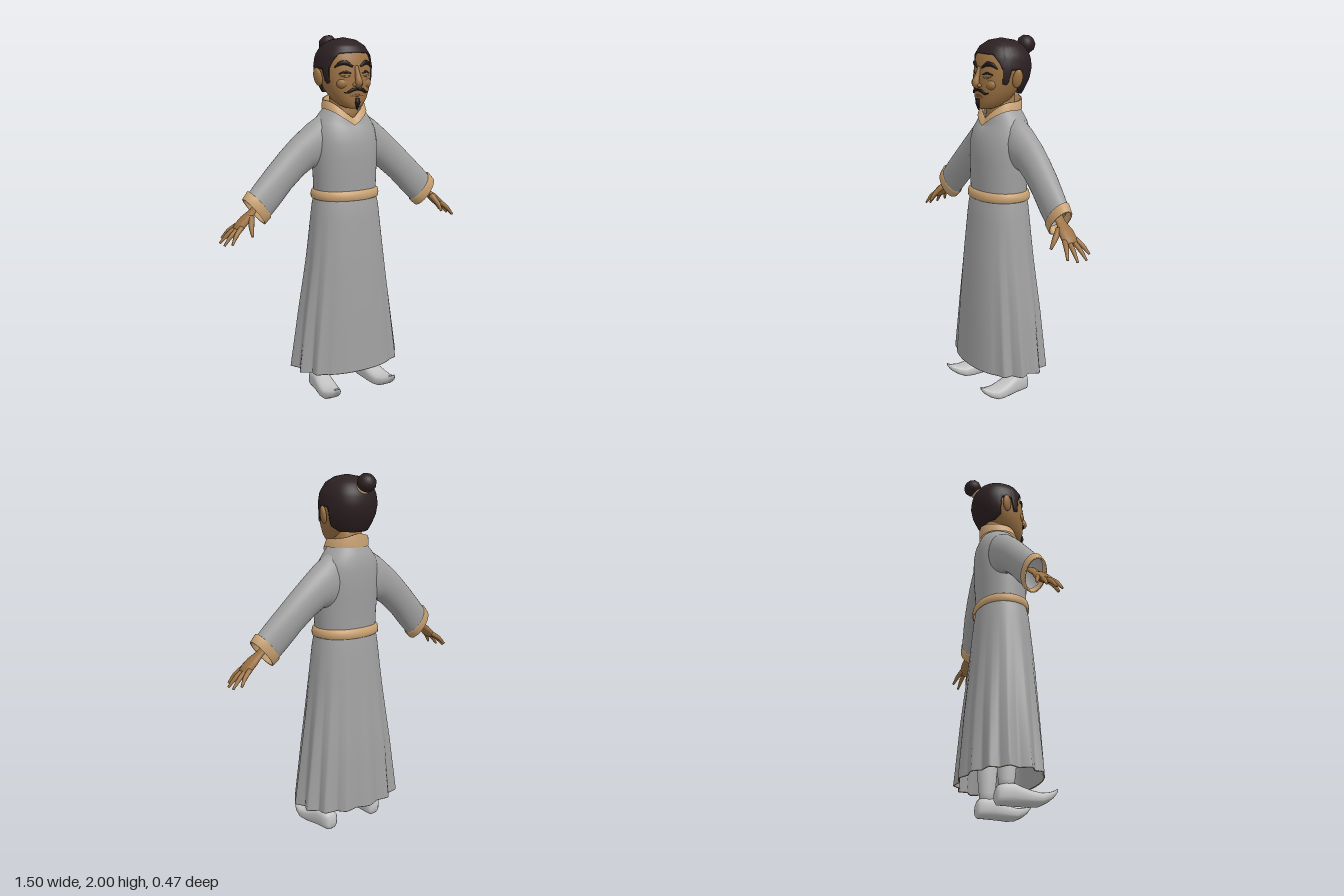
import * as THREE from 'three';

const V = (x, y, z) => new THREE.Vector3(x, y, z);
const paint = (name, color, side = THREE.FrontSide) => {
  const m = new THREE.MeshStandardMaterial({ color, side });
  m.name = name;
  return m;
};

// Skin stretched over closed rings of points; faces are turned outward
function loft(rings, capStart = false, capEnd = false) {
  const n = rings[0].length, pts = rings.flat(), index = [];
  for (let r = 0; r < rings.length - 1; r++) for (let i = 0; i < n; i++) {
    const a = r * n + i, b = r * n + (i + 1) % n;
    index.push(a, b, a + n, b, b + n, a + n);
  }
  const mean = list => list.reduce((s, p) => s.add(p), V(0, 0, 0)).divideScalar(list.length);
  const cap = (r, flip) => {
    const c = pts.push(mean(rings[r])) - 1;
    for (let i = 0; i < n; i++) {
      const a = r * n + i, b = r * n + (i + 1) % n;
      index.push(c, flip ? b : a, flip ? a : b);
    }
  };
  if (capStart) cap(0, true);
  if (capEnd) cap(rings.length - 1, false);
  const mid = mean(pts), q = k => pts[k].clone().sub(mid);
  let volume = 0;
  for (let i = 0; i < index.length; i += 3) volume += q(index[i]).dot(q(index[i + 1]).cross(q(index[i + 2])));
  if (volume < 0) index.reverse();
  const g = new THREE.BufferGeometry().setFromPoints(pts);
  g.setIndex(index);
  g.computeVertexNormals();
  return g;
}

// Rounded horizontal section: half width, front z, back z; angle 0 is the front
const pow = (v, e) => Math.sign(v) * Math.abs(v) ** e;
function sectionPoint(a, y, [w, zf, zb], n = 2.2, k = 1) {
  return V(w * k * pow(Math.sin(a), 2 / n), y, (zf + zb) / 2 + (zf - zb) / 2 * k * pow(Math.cos(a), 2 / n));
}
const around = (n, fn) => Array.from({ length: n }, (_, i) => fn(i / n * Math.PI * 2));
const section = (y, dims, n = 2.2) => around(48, a => sectionPoint(a, y, dims, n));

// Row of a profile table at height y
function sample(table, y) {
  let i = 0;
  while (i < table.length - 2 && y > table[i + 1][0]) i++;
  const p = table[i], q = table[i + 1], t = THREE.MathUtils.clamp((y - p[0]) / (q[0] - p[0]), 0, 1);
  return [1, 2, 3].map(k => p[k] + (q[k] - p[k]) * t);
}

// Tapered rounded stroke through points, flattened across the given side direction
function limb(points, radii, flat = 1, ref = V(0, 0, 1), n = 12) {
  const curve = new THREE.CatmullRomCurve3(points), steps = (points.length - 1) * 4;
  const rings = [];
  for (let i = 0; i <= steps; i++) {
    const t = i / steps, f = t * (radii.length - 1), j = Math.min(Math.floor(f), radii.length - 2);
    const r = radii[j] + (radii[j + 1] - radii[j]) * (f - j);
    const dir = curve.getTangent(t), p = curve.getPoint(t);
    const side = ref.clone().addScaledVector(dir, -ref.dot(dir)).normalize(), up = dir.clone().cross(side);
    rings.push(around(n, a => p.clone().addScaledVector(side, r * Math.cos(a)).addScaledVector(up, r * flat * Math.sin(a))));
  }
  return loft(rings, true, true);
}

const HEAD = [[1.622, .03, .112, .045], [1.635, .06, .124, .01], [1.67, .095, .13, -.05], [1.72, .122, .13, -.09],
  [1.78, .141, .13, -.13], [1.84, .144, .124, -.15], [1.9, .135, .114, -.145], [1.95, .1, .08, -.12], [1.975, .05, .03, -.07]];
const HAIR = [[1.66, .095, .12, -.1], [1.72, .13, .132, -.135], [1.78, .15, .136, -.165], [1.84, .155, .134, -.178],
  [1.9, .146, .124, -.17], [1.95, .115, .095, -.138], [1.98, .068, .05, -.09], [1.993, .002, -.014, -.018]];
const HAIRLINE = [[0, 1.915], [38, 1.91], [52, 1.87], [60, 1.83], [63, 1.76], [74, 1.75], [78, 1.83], [98, 1.83], [104, 1.73], [125, 1.7], [180, 1.695]];
const SKIRT = [[.16, .312, .207, -.218], [.5, .27, .192, -.198], [.8, .228, .175, -.17], [1.08, .194, .15, -.145], [1.15, .18, .135, -.135]];

export function createModel() {
  const model = new THREE.Group();
  const robe = paint('robe grey', 0xa0a0a0, THREE.DoubleSide);
  const trim = paint('tan trim', 0xc9a273, THREE.DoubleSide);
  const skin = paint('skin', 0x9c7243);
  const hairMat = paint('dark hair', 0x2c2022, THREE.DoubleSide);
  const ink = paint('brow black', 0x1d1716);
  const lip = paint('lip brown', 0x80502f);
  const cloth = paint('pale cloth', 0xc2c2c2);
  const add = (name, geo, mat, parent = model) => {
    const m = new THREE.Mesh(geo, mat);
    m.name = name;
    parent.add(m);
    return m;
  };
  const frontDip = a => Math.cos(a) > 0 ? 1 - Math.abs(Math.sin(a)) : 0;

  // Pleated skirt, folds deepening toward the hem and fading at the front
  const skirtRing = (y, shrink = 0) => around(168, a => {
    const fromFront = Math.min(a, 2 * Math.PI - a), t = THREE.MathUtils.clamp((1.1 - y) / .94, 0, 1);
    const phase = (fromFront * 14 / (2 * Math.PI)) % 1, wave = Math.abs(phase - .5) * 4 - 1;
    const fold = .06 * t ** 1.3 * wave * THREE.MathUtils.smoothstep(fromFront, .55, 1);
    return sectionPoint(a, y, sample(SKIRT, y), 2.2, 1 + fold - shrink);
  });
  add('skirt', loft(Array.from({ length: 16 }, (_, i) => skirtRing(.16 + .99 * i / 15))), robe);
  add('skirtHem', loft([skirtRing(.16), skirtRing(.157, .01), skirtRing(.16, .025)]), trim);

  // Upper robe with a dipped neckline
  const torso = [[1.14, .18, .135, -.135, 0], [1.25, .184, .138, -.138, 0], [1.35, .188, .14, -.147, 0], [1.43, .188, .137, -.15, 0],
    [1.5, .182, .12, -.15, 0], [1.55, .163, .098, -.143, .03], [1.585, .137, .092, -.131, .05], [1.615, .112, .086, -.118, .065]];
  add('robeBody', loft(torso.map(([y, w, f, b, d]) => around(48, a => sectionPoint(a, y - d * frontDip(a), [w, f, b])))), robe);

  // Sash
  add('belt', loft([[1.125, .186, .145], [1.13, .194, .152], [1.15, .196, .153], [1.17, .192, .148], [1.178, .18, .136]]
    .map(([y, w, d]) => section(y, [w, d, -d]))), trim);

  // Standing collar with a V front
  const collarLow = (a) => 1.615 - .085 * frontDip(a);
  const collarTop = (a) => 1.66 - .092 * frontDip(a) + (Math.cos(a) < 0 ? .03 * (1 - Math.abs(Math.sin(a))) : 0);
  add('collar', loft([
    around(48, a => sectionPoint(a, collarLow(a), [.122, .107, -.124])),
    around(48, a => sectionPoint(a, collarTop(a), [.113, .09, -.124])),
    around(48, a => sectionPoint(a, collarTop(a), [.103, .08, -.114])),
    around(48, a => sectionPoint(a, collarLow(a), [.1, .075, -.11]))]), trim);
  add('neck', loft([section(1.53, [.09, .075, -.09]), section(1.6, [.078, .062, -.09]), section(1.72, [.075, .05, -.09])], true, true), skin);

  // Head and facial features
  const head = new THREE.Group();
  head.name = 'head';
  model.add(head);
  add('face', loft(HEAD.map(([y, ...d]) => section(y, d)), true, true), skin, head);
  const onFace = (x, y, off = 0) => {
    const [w, zf, zb] = sample(HEAD, y);
    return V(x, y, (zf + zb) / 2 + (zf - zb) / 2 * (1 - Math.min(1, Math.abs(x) / w) ** 2.2) ** (1 / 2.2) + off);
  };
  const stroke = (name, xy, radii, mat, flat = .5, off = 0) =>
    add(name, limb(xy.map(([x, y]) => onFace(x, y, off)), radii, flat, V(0, 1, .01)), mat, head);
  add('nose', limb([V(0, 1.845, .119), V(0, 1.8, .134), V(0, 1.76, .146), V(0, 1.738, .13)], [.01, .014, .021, .014], 1, V(1, 0, 0)), skin, head);
  stroke('mouth', [[-.042, 1.688], [0, 1.693], [.042, 1.688]], [.002, .007, .002], lip);
  add('chinBeard', limb([V(0, 1.678, .133), V(0, 1.655, .135), V(0, 1.618, .127)], [.011, .016, .005], .6, V(1, 0, 0)), ink, head);
  for (const s of [1, -1]) {
    const ball = (name, r, pos, scale, mat) => {
      const m = add(name, new THREE.SphereGeometry(r, 20, 14), mat, head);
      m.position.copy(pos);
      m.scale.set(...scale);
      return m;
    };
    stroke('eyebrow', [[.024 * s, 1.842], [.06 * s, 1.862], [.088 * s, 1.858], [.112 * s, 1.837]], [.006, .013, .011, .003], ink, .7);
    stroke('eye', [[.034 * s, 1.806], [.062 * s, 1.815], [.096 * s, 1.805]], [.003, .007, .003], ink);
    stroke('lowerLid', [[.04 * s, 1.794], [.064 * s, 1.791], [.09 * s, 1.797]], [.002, .005, .002], skin, .8);
    stroke('moustache', [[.003 * s, 1.724], [.03 * s, 1.722], [.055 * s, 1.708], [.074 * s, 1.71]], [.006, .009, .006, .002], ink, .8, .004);
    ball('nostril', .012, V(.018 * s, 1.749, .135), [1, .85, 1], skin);
    ball('cheek', .035, V(.07 * s, 1.755, .093), [1, .9, .8], skin);
    const ear = ball('ear', .05, V(.158 * s, 1.787, -.015), [.32, 1, .55], skin);
    ear.rotation.set(-.15, -.35 * s, -.2 * s);
  }

  // Hair cap with sideburns, topknot and its tie
  const hairline = a => {
    const deg = Math.min(a, 2 * Math.PI - a) * 180 / Math.PI;
    let i = 0;
    while (i < HAIRLINE.length - 2 && deg > HAIRLINE[i + 1][0]) i++;
    const [p, q] = [HAIRLINE[i], HAIRLINE[i + 1]];
    return p[1] + (q[1] - p[1]) * (deg - p[0]) / (q[0] - p[0]);
  };
  const hairRing = (t, k = 1) => around(120, a => {
    const y = hairline(a) + (1.993 - hairline(a)) * Math.sin(t * Math.PI / 2);
    return sectionPoint(a, y, sample(HAIR, y), 2.2, k);
  });
  add('hair', loft([hairRing(0, .9), ...Array.from({ length: 17 }, (_, i) => hairRing(i / 16))], false, true), hairMat, head);
  const knot = new THREE.Group();
  knot.name = 'topknot';
  knot.position.set(0, 1.915, -.143);
  knot.rotation.x = -.75;
  head.add(knot);
  const bun = [[0, -.01], [.026, -.01], [.026, .012], [.044, .028], [.052, .055], [.044, .08], [.024, .096], [0, .1]];
  add('bun', new THREE.LatheGeometry(bun.map(p => new THREE.Vector2(...p)), 24), hairMat, knot);
  const tie = add('hairTie', new THREE.TorusGeometry(.03, .008, 10, 28), trim, knot);
  tie.rotation.x = Math.PI / 2;
  tie.position.y = .012;

  for (const s of [1, -1]) {
    const side = s > 0 ? 'left' : 'right';
    // Sleeve rings run between a top and a bottom edge point
    const sleeveRing = ([tx, ty, bx, by, zc, rz]) => around(32, a => {
      const c = Math.cos(a) / 2;
      return V(s * ((tx + bx) / 2 + (tx - bx) * c), (ty + by) / 2 + (ty - by) * c, zc + rz * Math.sin(a));
    });
    add(side + 'Sleeve', loft([[.07, 1.595, .1, 1.29, -.03, .08], [.14, 1.58, .145, 1.29, -.03, .09], [.205, 1.54, .165, 1.295, -.033, .085],
      [.3, 1.465, .19, 1.298, -.036, .076], [.37, 1.402, .25, 1.262, -.033, .072], [.45, 1.325, .33, 1.195, -.026, .069],
      [.53, 1.247, .41, 1.112, -.016, .063], [.588, 1.187, .475, 1.05, -.009, .056]].map(sleeveRing)), robe);
    add(side + 'Cuff', loft([[.575, 1.202, .46, 1.06, -.01, .056], [.583, 1.208, .463, 1.05, -.01, .062], [.615, 1.17, .497, 1.022, -.006, .058],
      [.608, 1.162, .502, 1.032, -.006, .05], [.58, 1.185, .475, 1.06, -.008, .049]].map(sleeveRing)), trim);

    // Hand with spread fingers
    const hand = new THREE.Group();
    hand.name = side + 'Hand';
    model.add(hand);
    const P = (x, y, z) => V(x * s, y, z);
    add('palm', limb([P(.5, 1.155, -.008), P(.565, 1.1, -.003), P(.61, 1.062, .001), P(.645, 1.03, .004), P(.665, 1.012, .004)],
      [.03, .029, .044, .046, .034], .5), skin, hand);
    for (const [z, tx, ty, tz] of [[-.031, .718, .962, -.066], [-.009, .745, .945, -.026], [.015, .742, .942, .028], [.036, .715, .952, .07]])
      add('finger', limb([P(.645, 1.03, z), P((.652 + tx) / 2, (1.04 + ty) / 2, (z + tz) / 2), P(tx, ty, tz)], [.014, .012, .006]), skin, hand);
    add('thumb', limb([P(.585, 1.075, .025), P(.605, 1.03, .068), P(.612, .988, .096)], [.018, .014, .007]), skin, hand);

    // Trouser leg and upturned shoe
    add(side + 'Leg', loft([[.08, .036], [.13, .04], [.2, .047], [.5, .065]].map(([y, r]) =>
      around(24, a => V(s * .155 + r * Math.sin(a), y, -.022 + r * 1.08 * Math.cos(a)))), true, true), cloth);
    const shoe = [[-.082, .158, .028, .012, .075], [-.07, .158, .044, 0, .1], [-.035, .159, .05, 0, .112], [.01, .162, .053, 0, .112], [.05, .166, .056, 0, .095],
      [.1, .172, .059, 0, .078], [.145, .177, .056, .005, .07], [.185, .181, .044, .026, .076], [.215, .184, .026, .05, .085], [.24, .186, .006, .082, .1]];
    add(side + 'Shoe', loft(shoe.map(([z, x, w, lo, hi]) => around(24, a =>
      V(s * x + w * pow(Math.cos(a), .8), (lo + hi) / 2 + (hi - lo) / 2 * pow(Math.sin(a), .7), z))), true, true), cloth);
  }
  return model;
}
